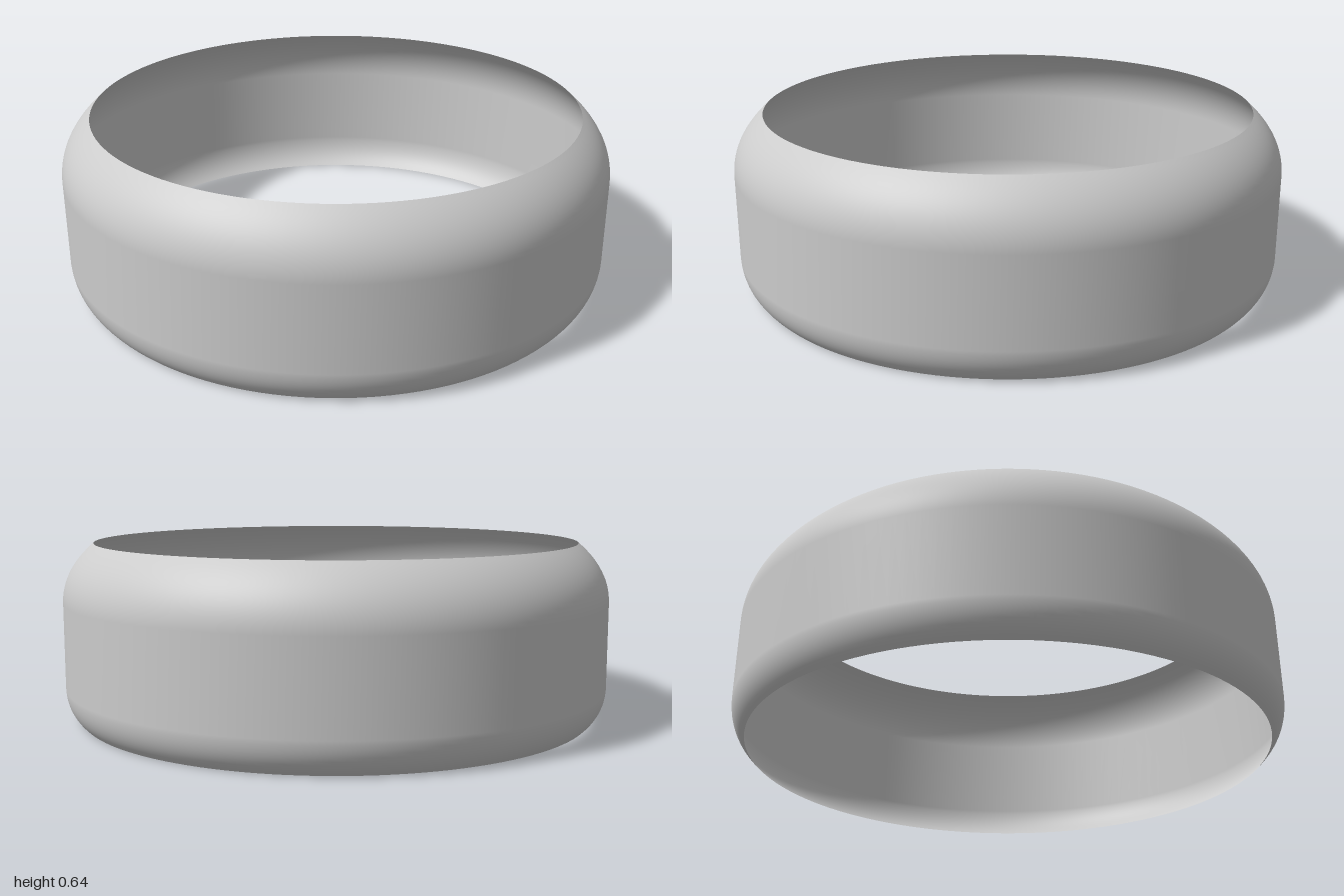
import * as THREE from 'three';

export function createModel() {
  const group = new THREE.Group();
  group.name = 'ring';

  // Wall profile: small rounded lower edge, straight side, larger rounded shoulder
  const v = (x, y) => new THREE.Vector2(x, y);
  const lower = new THREE.QuadraticBezierCurve(v(0.946, 0), v(0.997, 0.046), v(1, 0.12));
  const shoulder = new THREE.QuadraticBezierCurve(v(1, 0.43), v(1, 0.545), v(0.888, 0.64));
  const profile = [...lower.getPoints(10), ...shoulder.getPoints(16)];

  // Thin open band
  const band = new THREE.Mesh(
    new THREE.LatheGeometry(profile, 128),
    new THREE.MeshStandardMaterial({ color: 0xcccccc, side: THREE.DoubleSide })
  );
  band.name = 'band';
  group.add(band);
  return group;
}
